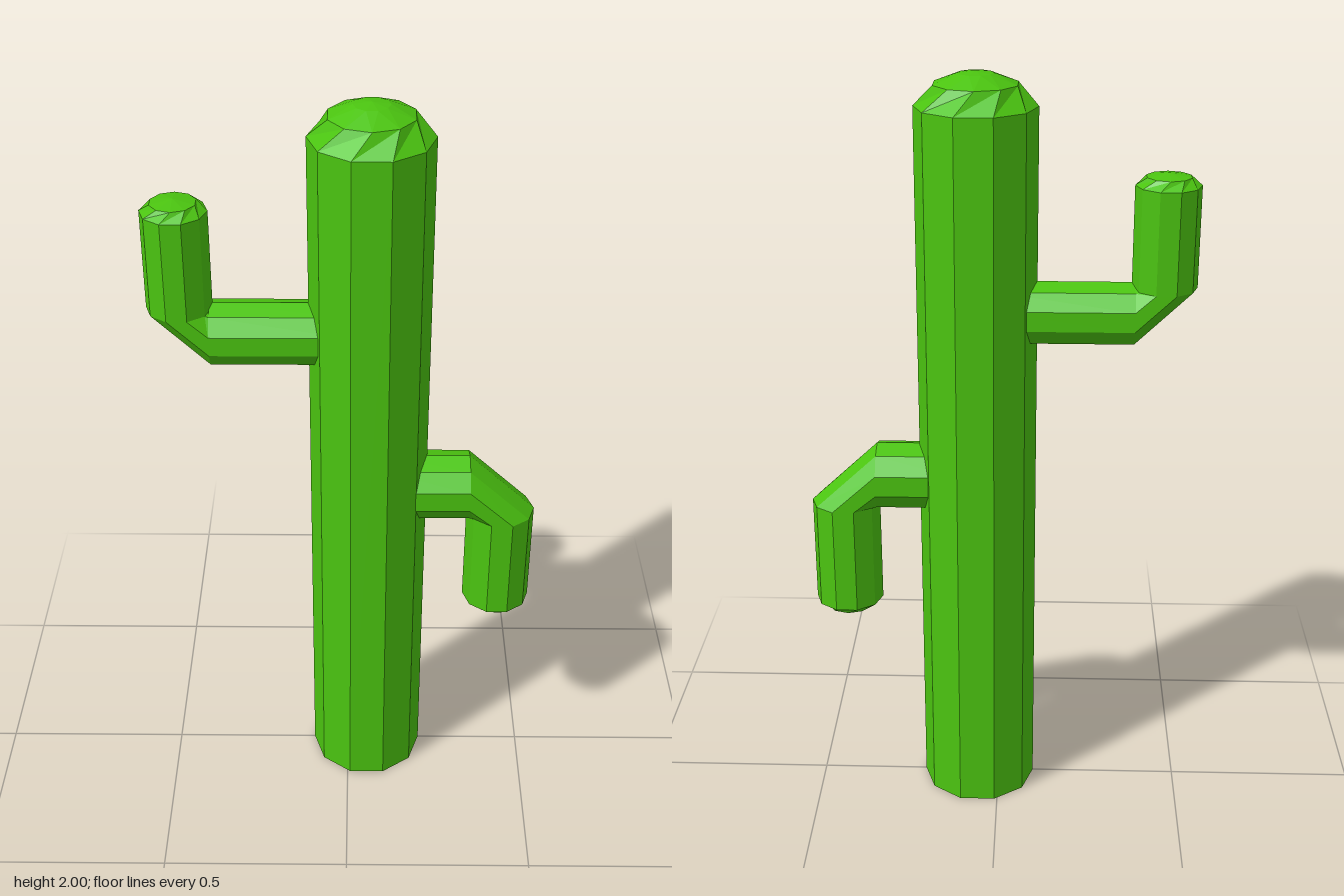
import * as THREE from 'three';

const SIDES = 10;
const material = new THREE.MeshStandardMaterial({ color: 0x4bc410, flatShading: true });

// Skin a row of rings. Each ring: centre x, y, radius, travel direction tx, ty, and twist in steps.
function loft(name, rings, z = 0) {
  const points = rings.map(([x, y, r, tx, ty, twist = 0]) =>
    Array.from({ length: SIDES }, (_, j) => {
      const a = ((j + twist) / SIDES) * Math.PI * 2;
      return new THREE.Vector3(x - ty * r * Math.cos(a), y + tx * r * Math.cos(a), z + r * Math.sin(a));
    }));
  const pos = [];
  const tri = (...p) => p.forEach((v) => pos.push(v.x, v.y, v.z));
  for (let i = 0; i < rings.length - 1; i++) {
    for (let j = 0; j < SIDES; j++) {
      const k = (j + 1) % SIDES;
      const a = points[i][j], b = points[i][k], c = points[i + 1][k], d = points[i + 1][j];
      if (rings[i][2] > 0) tri(a, b, rings[i + 1][2] > 0 ? c : d);
      if (rings[i + 1][2] > 0) tri(a, c, d);
    }
  }
  const geometry = new THREE.BufferGeometry();
  geometry.setAttribute('position', new THREE.Float32BufferAttribute(pos, 3));
  geometry.computeVertexNormals();
  const mesh = new THREE.Mesh(geometry, material);
  mesh.name = name;
  return mesh;
}

// Bent arm: horizontal run, chamfered elbow, vertical run, shallow domed tip.
function arm(name, { side, up, y, r, startX, elbowX, tipX, bendY, endY, z }) {
  return loft(name, [
    [startX, y, 0, side, 0],
    [startX, y, r, side, 0],
    [elbowX, y, r, side, 0],
    [tipX, bendY, r, 0, up],
    [tipX, endY, r, 0, up],
    [tipX, endY + up * 0.022, r * 0.7, 0, up, 0.5],
    [tipX, endY + up * 0.031, 0, 0, up],
  ], z);
}

export function createModel() {
  const group = new THREE.Group();
  group.name = 'cactus';

  // Trunk with flat base and faceted dome
  const x = 0.055;
  group.add(loft('trunk', [
    [x, 0, 0, 0, 1],
    [x, 0, 0.154, 0, 1],
    [x, 1.915, 0.154, 0, 1],
    [x, 1.969, 0.108, 0, 1, 0.5],
    [x, 1.994, 0.045, 0, 1],
    [x, 2, 0, 0, 1],
  ]));

  // Upper arm turns up, lower arm hangs down
  group.add(arm('raisedArm', {
    side: -1, up: 1, y: 1.392, r: 0.083, startX: 0, elbowX: -0.345,
    tipX: -0.42, bendY: 1.462, endY: 1.724, z: -0.002,
  }));
  group.add(arm('hangingArm', {
    side: 1, up: -1, y: 0.932, r: 0.091, startX: 0.1, elbowX: 0.322,
    tipX: 0.41, bendY: 0.855, endY: 0.562, z: 0.005,
  }));
  return group;
}
